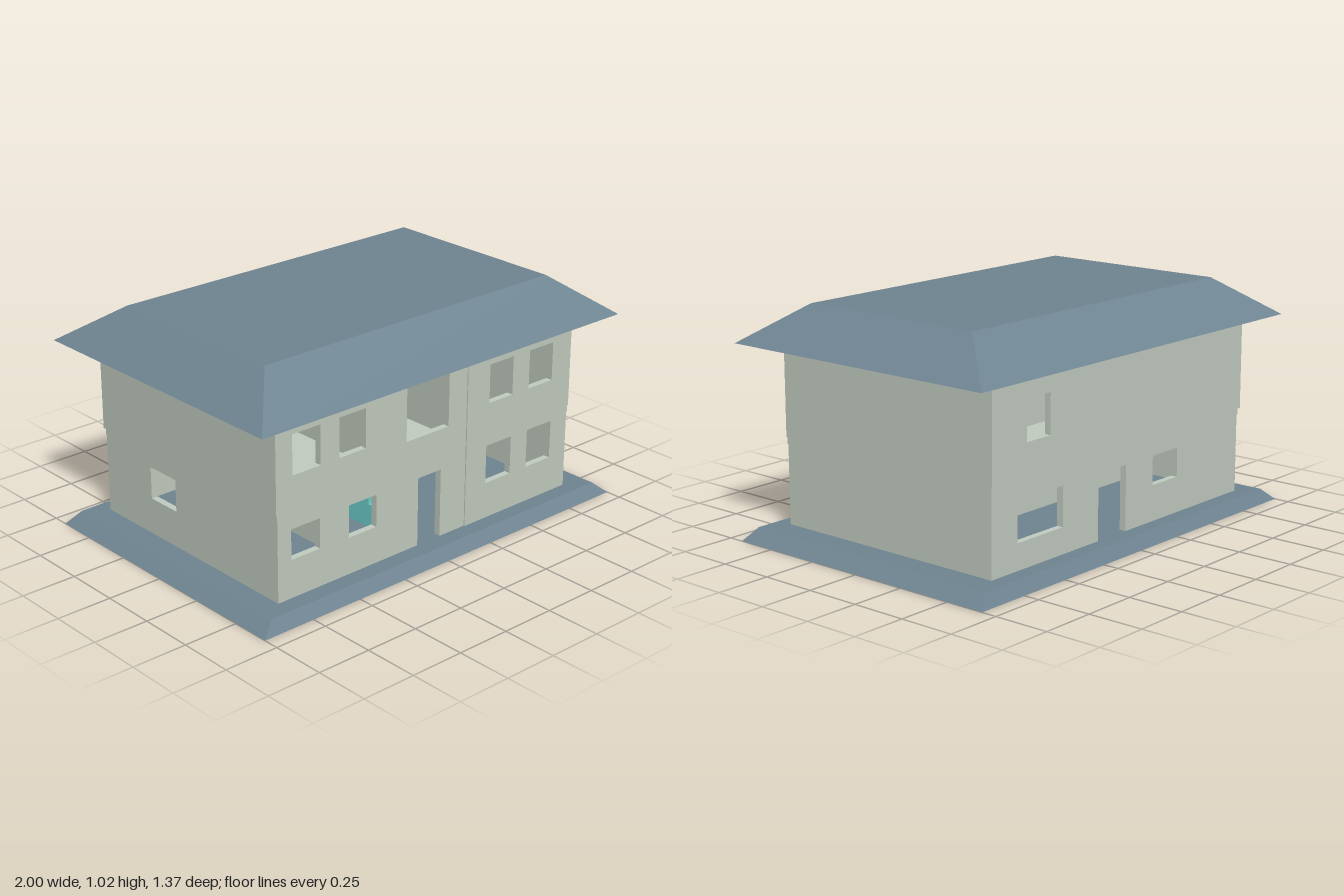
import * as THREE from 'three';

const wallMat = new THREE.MeshStandardMaterial({ name: 'pale wall', color: 0xc3cdc1 });
const slateMat = new THREE.MeshStandardMaterial({ name: 'slate', color: 0x6f8592 });
const stairMat = new THREE.MeshStandardMaterial({ name: 'turquoise stair', color: 0x6fd0d0 });
const T = 0.03; // wall thickness

function add(parent, name, geometry, material) {
  const mesh = new THREE.Mesh(geometry, material);
  mesh.name = name;
  parent.add(mesh);
  return mesh;
}

// Box given by its minimum and maximum on each axis
function block(parent, name, material, x0, x1, y0, y1, z0, z1) {
  const mesh = add(parent, name, new THREE.BoxGeometry(x1 - x0, y1 - y0, z1 - z0), material);
  mesh.position.set((x0 + x1) / 2, (y0 + y1) / 2, (z0 + z1) / 2);
  return mesh;
}

// Box whose top is a smaller rectangle than its bottom
function taperedSlab(parent, name, y0, y1, bottom, top) {
  const g = new THREE.BoxGeometry(2, 1, 2).toNonIndexed();
  const p = g.attributes.position;
  for (let i = 0; i < p.count; i++) {
    const upper = p.getY(i) > 0;
    const [hx, hz] = upper ? top : bottom;
    p.setXYZ(i, p.getX(i) * hx, upper ? y1 : y0, p.getZ(i) * hz);
  }
  g.computeVertexNormals();
  return add(parent, name, g, slateMat);
}

// Upright wall with rectangular openings [u0, u1, v0, v1]; thickness runs along +z
function wall(parent, name, u0, u1, v0, v1, openings) {
  const rect = (path, a, b, c, d) =>
    path.moveTo(a, c).lineTo(b, c).lineTo(b, d).lineTo(a, d).closePath();
  const shape = rect(new THREE.Shape(), u0, u1, v0, v1);
  for (const o of openings) shape.holes.push(rect(new THREE.Path(), ...o));
  return add(parent, name, new THREE.ExtrudeGeometry(shape, { depth: T, bevelEnabled: false }), wallMat);
}

// Four outer walls of one storey; the front is in two sections that meet at x = 0.2
function storey(parent, name, s) {
  const group = new THREE.Group();
  group.name = name;
  parent.add(group);
  wall(group, 'frontWallMain', s.x0, 0.2, s.y0, s.y1, s.frontMain).position.z = 0.565 - T;
  wall(group, 'frontWallEnd', 0.2, s.x1, s.y0, s.y1, s.frontEnd).position.z = 0.57 - T;
  wall(group, 'backWall', s.x0, s.x1, s.y0, s.y1, s.back).position.z = s.z0;
  const left = wall(group, 'leftWall', s.z0 + T, 0.57 - T, s.y0, s.y1, []);
  left.rotation.y = -Math.PI / 2;
  left.position.x = s.x1;
  const right = wall(group, 'rightWall', s.z0 + T, 0.565 - T, s.y0, s.y1, s.side);
  right.rotation.y = -Math.PI / 2;
  right.position.x = s.x0 + T;
  return group;
}

export function createModel() {
  const house = new THREE.Group();
  house.name = 'house';

  // Plinth and hipped roof with a flat top
  taperedSlab(house, 'plinth', 0, 0.055, [1, 0.68], [0.935, 0.642]);
  taperedSlab(house, 'roof', 0.855, 1.022, [1, 0.683], [0.787, 0.445]);

  // Ground storey, let slightly into the plinth
  const ground = storey(house, 'groundStorey', {
    x0: -0.835, x1: 0.82, y0: 0.045, y1: 0.41, z0: -0.57,
    frontMain: [[-0.765, -0.615, 0.225, 0.36], [-0.46, -0.31, 0.22, 0.365], [-0.075, 0.055, 0.05, 0.365]],
    frontEnd: [[0.32, 0.47, 0.22, 0.395], [0.57, 0.72, 0.22, 0.395]],
    back: [[0.385, 0.665, 0.17, 0.345], [-0.03, 0.155, 0.05, 0.345], [-0.39, -0.215, 0.215, 0.345]],
    side: [[-0.26, -0.09, 0.22, 0.365]],
  });

  // Upper storey, overhanging a little
  const upper = storey(house, 'upperStorey', {
    x0: -0.84, x1: 0.83, y0: 0.44, y1: 0.855, z0: -0.583,
    frontMain: [[-0.755, -0.61, 0.59, 0.765], [-0.51, -0.37, 0.59, 0.765], [-0.145, 0.095, 0.55, 0.815]],
    frontEnd: [[0.33, 0.47, 0.59, 0.765], [0.57, 0.715, 0.59, 0.765]],
    back: [[0.48, 0.625, 0.575, 0.75]],
    side: [],
  });

  // Floor slab between storeys, in two parts to follow the stepped front
  block(house, 'upperFloorMain', wallMat, -0.835, 0.2, 0.41, 0.44, -0.575, 0.565);
  block(house, 'upperFloorEnd', wallMat, 0.2, 0.825, 0.41, 0.44, -0.575, 0.57);

  // Inner partitions
  block(ground, 'crossPartition', wallMat, -0.805, 0.365, 0.05, 0.41, -0.08, -0.05);
  block(ground, 'roomPartition', wallMat, -0.385, -0.36, 0.05, 0.41, -0.05, 0.3);
  block(upper, 'crossPartition', wallMat, -0.65, 0.8, 0.44, 0.855, -0.08, -0.05);
  for (const x of [-0.25, 0.2, 0.5])
    block(upper, 'roomPartition', wallMat, x, x + 0.025, 0.44, 0.855, -0.05, 0.535);

  // Staircase: a flight rising to the back, then a short flight turning to the left
  const stairs = new THREE.Group();
  stairs.name = 'staircase';
  house.add(stairs);
  const rise = 0.0355;
  for (let i = 0; i < 7; i++)
    block(stairs, 'step', stairMat, -0.11, 0.065, 0.05, 0.055 + rise * (i + 1), 0.38 - i * 0.04, 0.42 - i * 0.04);
  block(stairs, 'landing', stairMat, -0.11, -0.065, 0.05, 0.31, -0.04, 0.14);
  for (let i = 0; i < 3; i++) {
    const x = -0.065 + i * 0.045;
    block(stairs, 'turnStep', stairMat, x, i === 2 ? 0.2 : x + 0.045, 0.05, 0.345 + i * 0.03, -0.04, 0.14);
  }

  return house;
}
